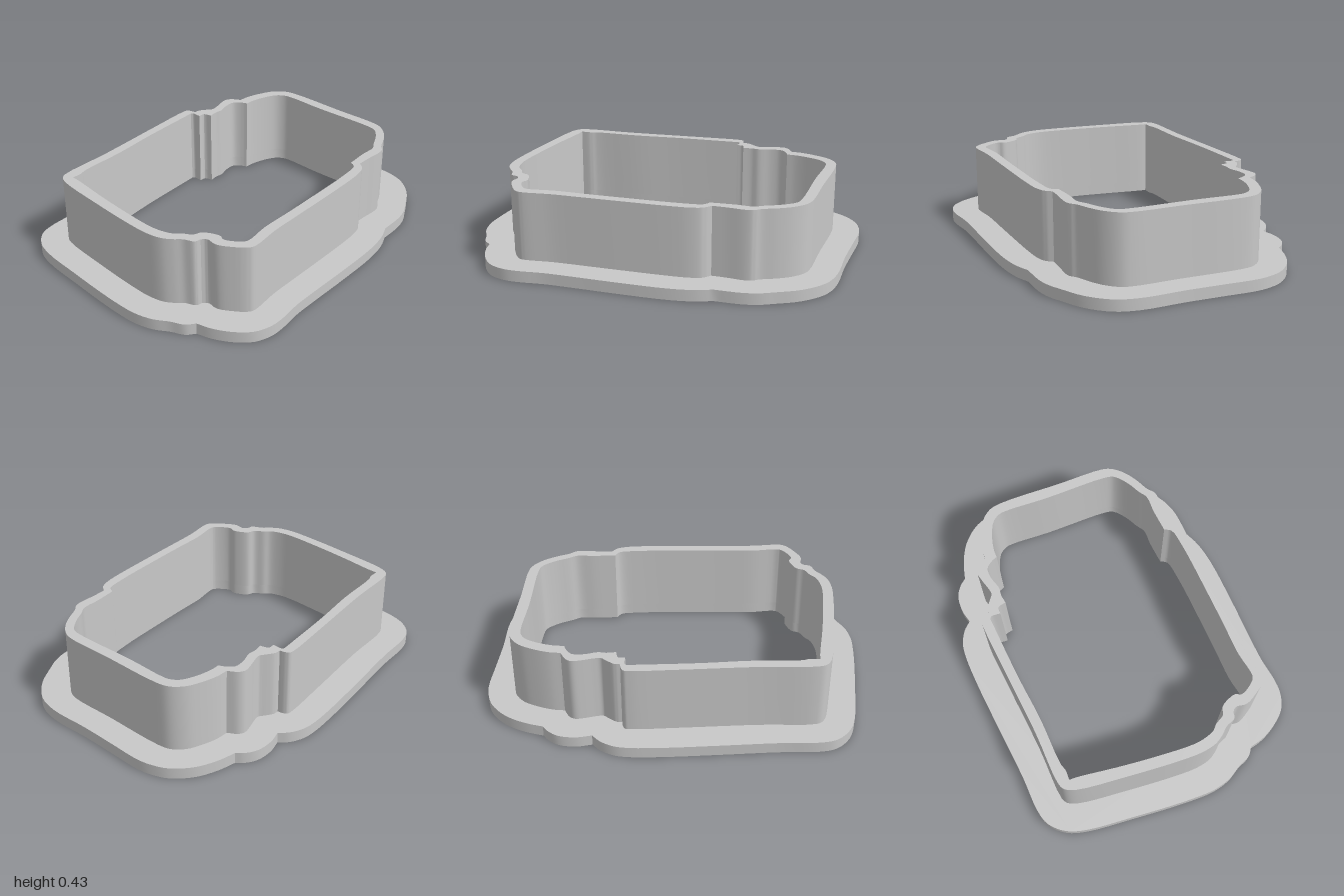
import * as THREE from 'three';
import { toCreasedNormals } from 'three/addons/utils/BufferGeometryUtils.js';

// Outlines are lists of smooth runs of [x, z]; a sharp corner lies between runs.

// Outer edge of the base flange
const FLANGE = [
  [[-0.565, -0.69], [-0.53, -0.79], [-0.47, -0.89], [-0.38, -0.965], [-0.3, -0.992], [-0.22, -1],
    [-0.05, -0.982], [0.15, -0.96], [0.38, -0.943], [0.5, -0.9], [0.6, -0.8], [0.66, -0.68], [0.69, -0.61],
    [0.705, -0.53]],
  [[0.703, -0.39], [0.73, -0.31], [0.746, -0.18], [0.741, 0.08], [0.73, 0.3], [0.724, 0.47], [0.732, 0.6],
    [0.725, 0.68], [0.69, 0.76], [0.62, 0.82], [0.52, 0.865]],
  [[0.437, 0.88], [0.4, 0.92], [0.33, 0.945], [0.25, 0.983], [0.15, 1], [0.05, 0.995], [-0.1, 0.976],
    [-0.3, 0.943], [-0.55, 0.897], [-0.65, 0.855], [-0.72, 0.78], [-0.74, 0.69], [-0.736, 0.5],
    [-0.744, 0.2], [-0.75, -0.08], [-0.745, -0.25], [-0.73, -0.33], [-0.69, -0.4]],
  [[-0.643, -0.44], [-0.655, -0.52], [-0.64, -0.61], [-0.6, -0.665]],
];

// Outer face of the upright wall
const WALL = [
  [[-0.44, -0.585], [-0.43, -0.65], [-0.4, -0.73], [-0.36, -0.8], [-0.3, -0.845], [-0.23, -0.855],
    [0.1, -0.825], [0.36, -0.802], [0.41, -0.78], [0.46, -0.73], [0.5, -0.66], [0.53, -0.585], [0.555, -0.55],
    [0.56, -0.51], [0.55, -0.42]],
  [[0.545, -0.345], [0.58, -0.31], [0.596, -0.25], [0.6, -0.15], [0.594, 0.1], [0.587, 0.3], [0.582, 0.47],
    [0.59, 0.61], [0.583, 0.645], [0.555, 0.673], [0.52, 0.695], [0.44, 0.73]],
  [[0.387, 0.72], [0.37, 0.725]],
  [[0.355, 0.74], [0.345, 0.77], [0.29, 0.79], [0.25, 0.82], [0.2, 0.845], [0.12, 0.855], [0, 0.845],
    [-0.27, 0.803], [-0.53, 0.752], [-0.58, 0.725], [-0.597, 0.69], [-0.592, 0.4], [-0.6, 0], [-0.602, -0.25],
    [-0.595, -0.277], [-0.575, -0.287]],
  [[-0.545, -0.29], [-0.54, -0.32], [-0.51, -0.36], [-0.49, -0.385], [-0.492, -0.42], [-0.505, -0.48],
    [-0.51, -0.53], [-0.49, -0.56]],
];

// Inner face shared by the flange and the wall
const INNER = [
  [[-0.38, -0.57], [-0.375, -0.62], [-0.35, -0.7], [-0.31, -0.77], [-0.27, -0.795], [-0.23, -0.8],
    [0, -0.775], [0.36, -0.747], [0.4, -0.73], [0.45, -0.66], [0.48, -0.59], [0.505, -0.54], [0.5, -0.45]],
  [[0.502, -0.325], [0.535, -0.3], [0.546, -0.2], [0.541, 0.1], [0.534, 0.3], [0.526, 0.47], [0.535, 0.61],
    [0.52, 0.635], [0.44, 0.675], [0.41, 0.66], [0.38, 0.663], [0.32, 0.69], [0.3, 0.73], [0.25, 0.755],
    [0.22, 0.78], [0.17, 0.795], [0.1, 0.8], [-0.1, 0.774], [-0.3, 0.738], [-0.5, 0.696]],
  [[-0.54, 0.692], [-0.536, 0.64], [-0.545, 0.6], [-0.54, 0.35], [-0.55, 0.1]],
  [[-0.552, -0.26], [-0.54, -0.27]],
  [[-0.492, -0.265], [-0.487, -0.3]],
  [[-0.443, -0.31], [-0.447, -0.36], [-0.44, -0.4], [-0.455, -0.47], [-0.45, -0.53], [-0.41, -0.56]],
];

// Sample each run as a spline that ends at the first point of the next run
function outlinePoints(runs) {
  const points = [];
  runs.forEach((run, i) => {
    const next = runs[(i + 1) % runs.length][0];
    const knots = [...run, next].map(([x, z]) => new THREE.Vector3(x, -z, 0));
    const samples = new THREE.CatmullRomCurve3(knots).getPoints(run.length * 4);
    samples.pop();
    samples.forEach((p) => points.push(new THREE.Vector2(p.x, p.y)));
  });
  return points;
}

// Upright ring between an outer outline and the inner one
function ring(name, outer, y0, y1, material) {
  const shape = new THREE.Shape(outlinePoints(outer));
  // The hole runs the opposite way round, so its walls face inward
  shape.holes.push(new THREE.Path(outlinePoints(INNER).reverse()));
  const geometry = new THREE.ExtrudeGeometry(shape, { depth: y1 - y0, bevelEnabled: false });
  geometry.rotateX(-Math.PI / 2);
  geometry.translate(0, y0, 0);
  const mesh = new THREE.Mesh(toCreasedNormals(geometry, 0.5), material);
  mesh.name = name;
  return mesh;
}

export function createModel() {
  const grey = new THREE.MeshStandardMaterial({ color: 0xc8c8c8 });
  grey.name = 'grey plastic';

  const model = new THREE.Group();
  model.name = 'cookieCutter';
  model.add(ring('baseFlange', FLANGE, 0, 0.06, grey));
  model.add(ring('cuttingWall', WALL, 0.06, 0.425, grey));
  return model;
}
